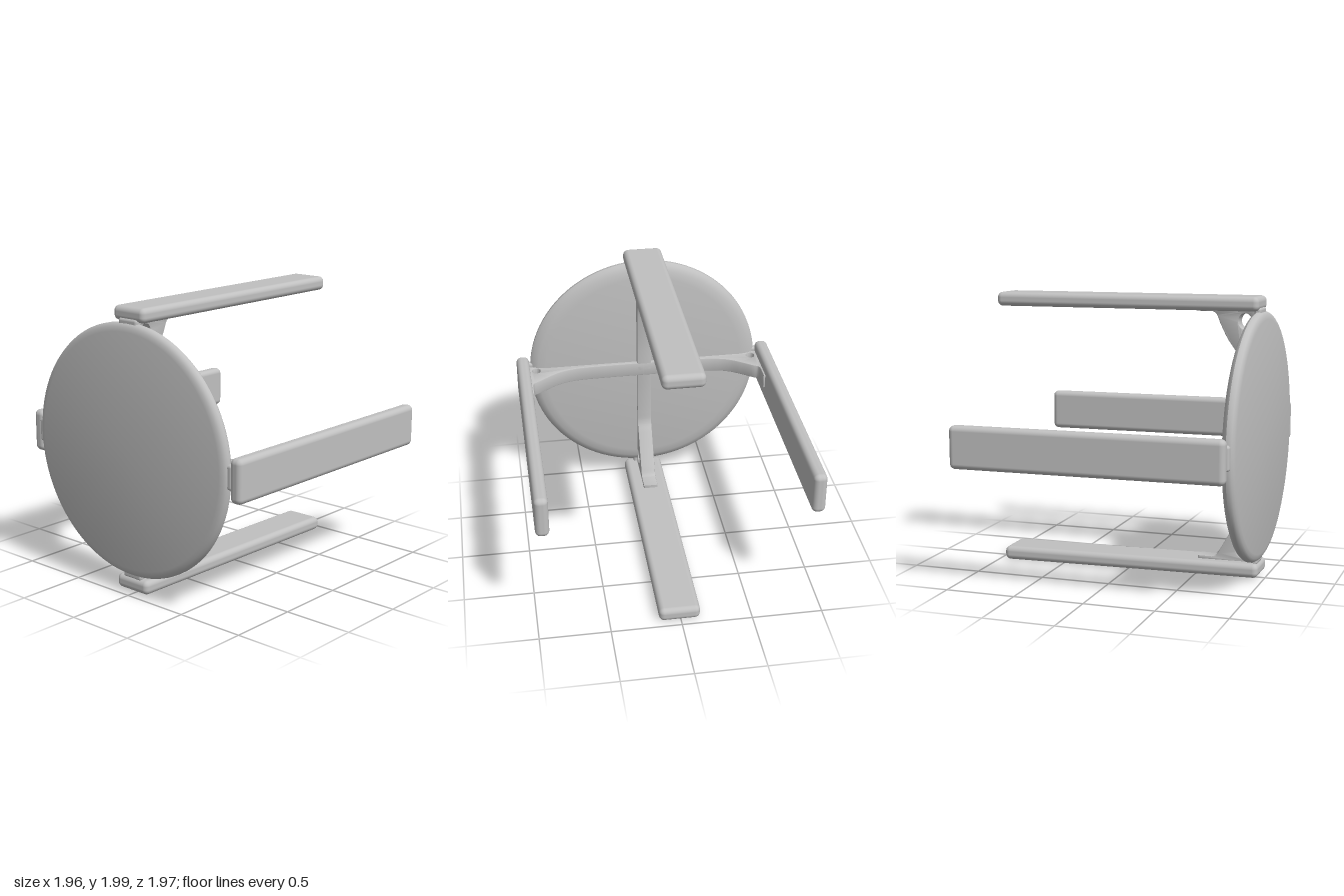
import * as THREE from 'three';
import { toCreasedNormals } from 'three/addons/utils/BufferGeometryUtils.js';
import { RoundedBoxGeometry } from 'three/addons/geometries/RoundedBoxGeometry.js';

const CENTER_Y = 1.02; // height of the seat's axis
const BRACE_WIDTH = 0.11;

export function createModel() {
  const model = new THREE.Group();
  const grey = new THREE.MeshStandardMaterial({ color: 0xc0c0c0 });
  grey.name = 'plain grey';

  function add(name, geometry, x = 0, y = 0, z = 0) {
    const mesh = new THREE.Mesh(geometry, grey);
    mesh.name = name;
    mesh.position.set(x, y, z);
    model.add(mesh);
    return mesh;
  }

  // Round seat facing +z, with a softly rolled rim
  const profile = [
    [0, 0.88], [0.76, 0.88], [0.82, 0.89], [0.86, 0.908], [0.877, 0.93],
    [0.877, 0.95], [0.868, 0.966], [0.85, 0.978], [0.82, 0.985], [0, 0.985],
  ].map(([r, z]) => new THREE.Vector2(r, z));
  const seat = new THREE.LatheGeometry(profile, 96);
  seat.rotateX(Math.PI / 2);
  add('seat', toCreasedNormals(seat, 0.6), 0, CENTER_Y, 0);

  // Four flat legs with rounded edges, the lower one slightly tilted
  const leg = (name, w, h, length, x, y, z, tilt = 0) => {
    const mesh = add(name, new RoundedBoxGeometry(w, h, length, 4, 0.038), x, y, z);
    mesh.rotation.x = tilt;
  };
  leg('topLeg', 0.285, 0.1, 1.94, 0, 1.95, -0.017);
  leg('bottomLeg', 0.292, 0.1, 1.93, 0.008, 0.069, 0.008, -0.012);
  leg('leftLeg', 0.095, 0.3, 1.94, 0.932, 1.0, -0.005, -0.003);
  leg('rightLeg', 0.095, 0.3, 1.93, -0.932, 1.0, -0.015, -0.003);

  // Braces across the back: a thin rib sweeping up onto the leg, with an eye at the corner
  function brace(name, angle, curve, eye) {
    const shape = new THREE.Shape();
    shape.moveTo(0, 0.93);
    shape.lineTo(0, 0.85);
    shape.splineThru(curve.map(([r, z]) => new THREE.Vector2(r, z)));
    shape.lineTo(0.872, 0.52);
    shape.lineTo(0.9, 0.52);
    shape.lineTo(0.9, 0.93);
    shape.closePath();
    const hole = new THREE.Path();
    hole.absellipse(eye.r, eye.z, eye.rr, eye.rz, 0, Math.PI * 2, true);
    shape.holes.push(hole);
    const bevel = 0.008;
    const geometry = new THREE.ExtrudeGeometry(shape, {
      depth: BRACE_WIDTH - 2 * bevel, curveSegments: 20, bevelEnabled: true,
      bevelThickness: bevel, bevelSize: bevel, bevelOffset: -bevel, bevelSegments: 2,
    });
    geometry.translate(0, 0, -BRACE_WIDTH / 2 + bevel);
    geometry.rotateX(Math.PI / 2);
    geometry.rotateZ(angle);
    add(name, toCreasedNormals(geometry, 0.6), 0, CENTER_Y, 0);

    // Short neck joining the rim to the leg
    const neck = new RoundedBoxGeometry(0.06, 0.17, 0.05, 3, 0.02);
    neck.rotateZ(angle);
    add(name + 'Neck', neck, Math.cos(angle) * 0.875, CENTER_Y + Math.sin(angle) * 0.875, 0.935);
  }

  const largeEye = { r: 0.807, z: 0.843, rr: 0.055, rz: 0.048 };
  const smallEye = { r: 0.835, z: 0.852, rr: 0.031, rz: 0.038 };
  brace('topBrace', Math.PI / 2,
    [[0.2, 0.85], [0.4, 0.835], [0.52, 0.818], [0.59, 0.785], [0.68, 0.722], [0.78, 0.67], [0.85, 0.64], [0.872, 0.61]],
    largeEye);
  brace('bottomBrace', -Math.PI / 2,
    [[0.2, 0.86], [0.4, 0.862], [0.49, 0.855], [0.56, 0.82], [0.68, 0.757], [0.8, 0.69], [0.86, 0.655], [0.872, 0.62]],
    largeEye);
  const sideCurve = [[0.2, 0.85], [0.45, 0.845], [0.57, 0.83], [0.66, 0.8], [0.74, 0.75], [0.82, 0.69], [0.86, 0.665], [0.872, 0.63]];
  brace('leftBrace', 0, sideCurve, smallEye);
  brace('rightBrace', Math.PI, sideCurve, smallEye);

  return model;
}
